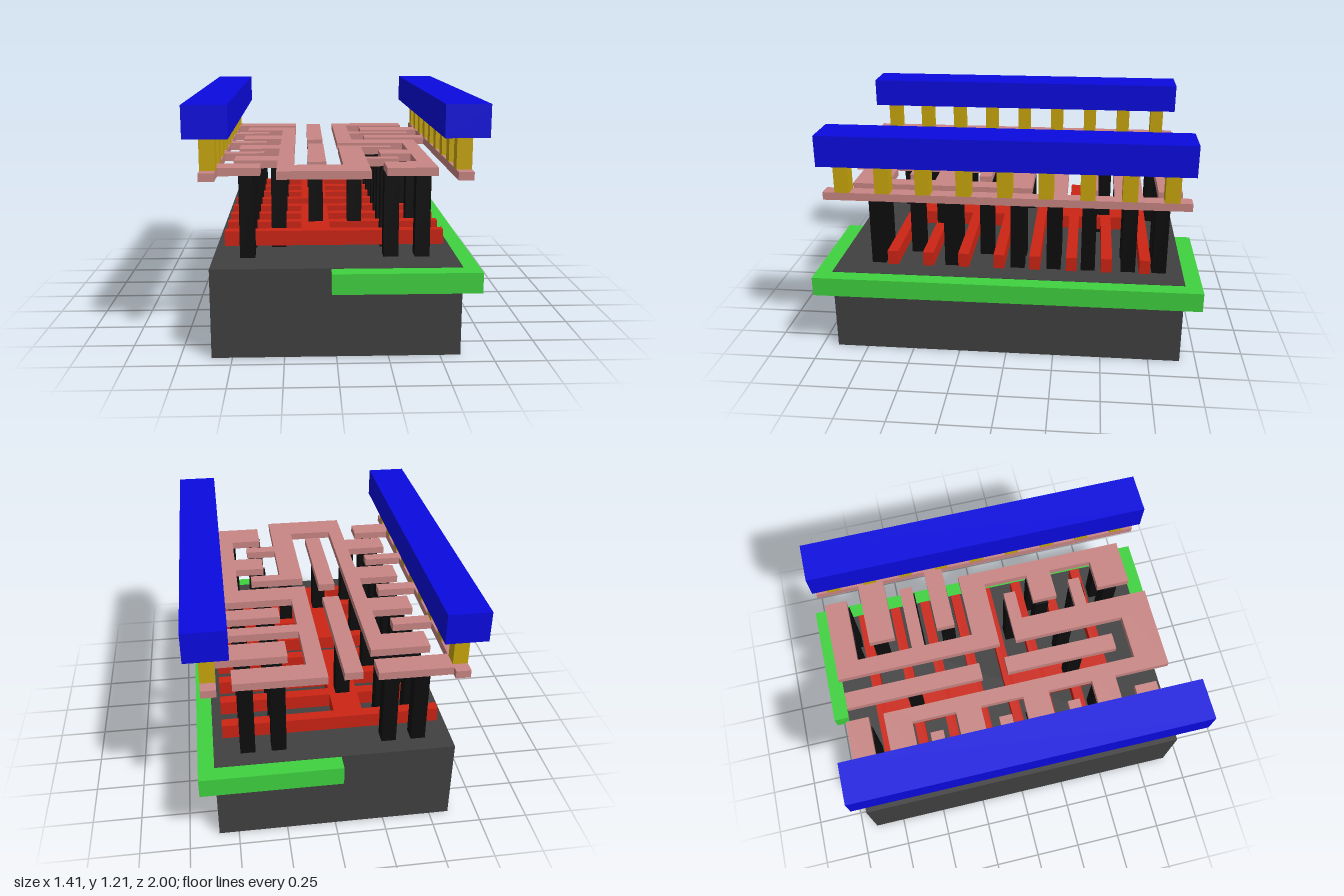
import * as THREE from 'three';

export function createModel() {
  const root = new THREE.Group();
  const mat = (color) => new THREE.MeshStandardMaterial({ color });
  const M = {
    silicon: mat(0x404040), well: mat(0x3fd23f), gate: mat(0xcc2414), contact: mat(0x0d0d0d),
    metal: mat(0xc88684), via: mat(0xc8a60c), power: mat(0x0a0ae0),
  };
  const layer = (name) => {
    const g = new THREE.Group();
    g.name = name;
    root.add(g);
    return g;
  };
  // Box given by its limits on each axis
  const box = (parent, name, m, x0, x1, y0, y1, z0, z1) => {
    const mesh = new THREE.Mesh(new THREE.BoxGeometry(x1 - x0, y1 - y0, z1 - z0), m);
    mesh.position.set((x0 + x1) / 2, (y0 + y1) / 2, (z0 + z1) / 2);
    mesh.name = name;
    parent.add(mesh);
  };

  // Substrate with the well plate let into its upper edge
  box(root, 'substrate', M.silicon, -0.6, 0.6, 0, 0.442, -0.915, 0.915);
  box(root, 'wellPlate', M.well, -0.025, 0.68, 0.34, 0.44, -1, 1);

  // Two gate combs: crossing fingers joined by a spine
  const gates = layer('gates');
  const combs = [[-0.71, -0.515, -0.335, -0.145], [0.04, 0.225, 0.41, 0.597]];
  for (const rows of combs) {
    for (const z of rows) box(gates, 'gateFinger', M.gate, -0.55, 0.55, 0.475, 0.55, z - 0.028, z + 0.028);
    box(gates, 'gateSpine', M.gate, -0.165, -0.02, 0.475, 0.55, rows[0] - 0.028, rows[3] + 0.028);
  }

  // Contact posts: x, then the rows they stand on
  const contacts = layer('contacts');
  const posts = [
    [-0.43, [-0.79, -0.605, -0.42, -0.235, -0.05, 0.135, 0.32, 0.505, 0.695]],
    [-0.28, [-0.79, -0.605, -0.235, 0.135, 0.505]],
    [-0.09, [-0.5, 0.395]],
    [0.112, [0.395]],
    [0.275, [-0.79, -0.63, -0.42, -0.24, -0.05, 0.13, 0.3, 0.51, 0.695]],
    [0.43, [-0.79, -0.63, -0.42, -0.24, -0.05, 0.3, 0.695]],
  ];
  for (const [x, rows] of posts) {
    for (const z of rows) box(contacts, 'contactPost', M.contact, x - 0.037, x + 0.037, 0.44, 0.862, z - 0.037, z + 0.037);
  }

  // Flat metal tracks: x0, x1, z0, z1
  const metal = layer('metalTracks');
  const tracks = {
    leftRailFinger: [[-0.6, -0.2, -0.88, -0.76], [-0.6, -0.36, -0.46, -0.39], [-0.6, -0.36, -0.09, -0.02],
      [-0.6, -0.36, 0.285, 0.35], [-0.6, -0.36, 0.655, 0.775]],
    rightRailFinger: [[0.21, 0.6, -0.68, -0.54], [0.21, 0.6, -0.305, -0.205]],
    innerTrack: [[-0.5, -0.2, -0.68, -0.54], [-0.5, -0.2, -0.305, -0.17], [-0.5, -0.2, 0.06, 0.2],
      [-0.5, -0.2, 0.44, 0.57], [-0.28, -0.2, -0.68, 0.87], [-0.28, 0.165, 0.7, 0.87],
      [0.04, 0.165, 0.1, 0.87], [0.04, 0.33, 0.1, 0.165], [0.04, 0.33, 0.47, 0.535]],
    outputTrack: [[0.04, 0.49, -0.88, -0.76], [0.04, 0.13, -0.88, 0.01], [0.04, 0.49, -0.46, -0.39],
      [0.04, 0.49, -0.125, 0.01], [0.41, 0.49, -0.125, 0.8], [0.25, 0.49, 0.25, 0.385], [0.245, 0.49, 0.62, 0.8]],
    gateTrack: [[-0.13, -0.04, -0.86, -0.125], [-0.13, -0.04, 0.015, 0.62]],
  };
  for (const [name, list] of Object.entries(tracks)) {
    for (const [x0, x1, z0, z1] of list) box(metal, name, M.metal, x0, x1, 0.86, 0.9, z0, z1);
  }

  // Side rails, vias and power bars, mirrored left and right
  const power = layer('powerRails');
  for (const s of [-1, 1]) {
    const c = s * 0.6;
    box(power, 'metalRail', M.metal, c - 0.037, c + 0.037, 0.86, 0.9, -0.915, 0.915);
    for (let i = -4; i <= 4; i++) {
      const z = i * 0.204;
      box(power, 'via', M.via, c - 0.037, c + 0.037, 0.9, 1.06, z - 0.037, z + 0.037);
    }
    box(power, 'powerBar', M.power, c - 0.105, c + 0.105, 1.057, 1.213, -0.915, 0.915);
  }
  return root;
}
